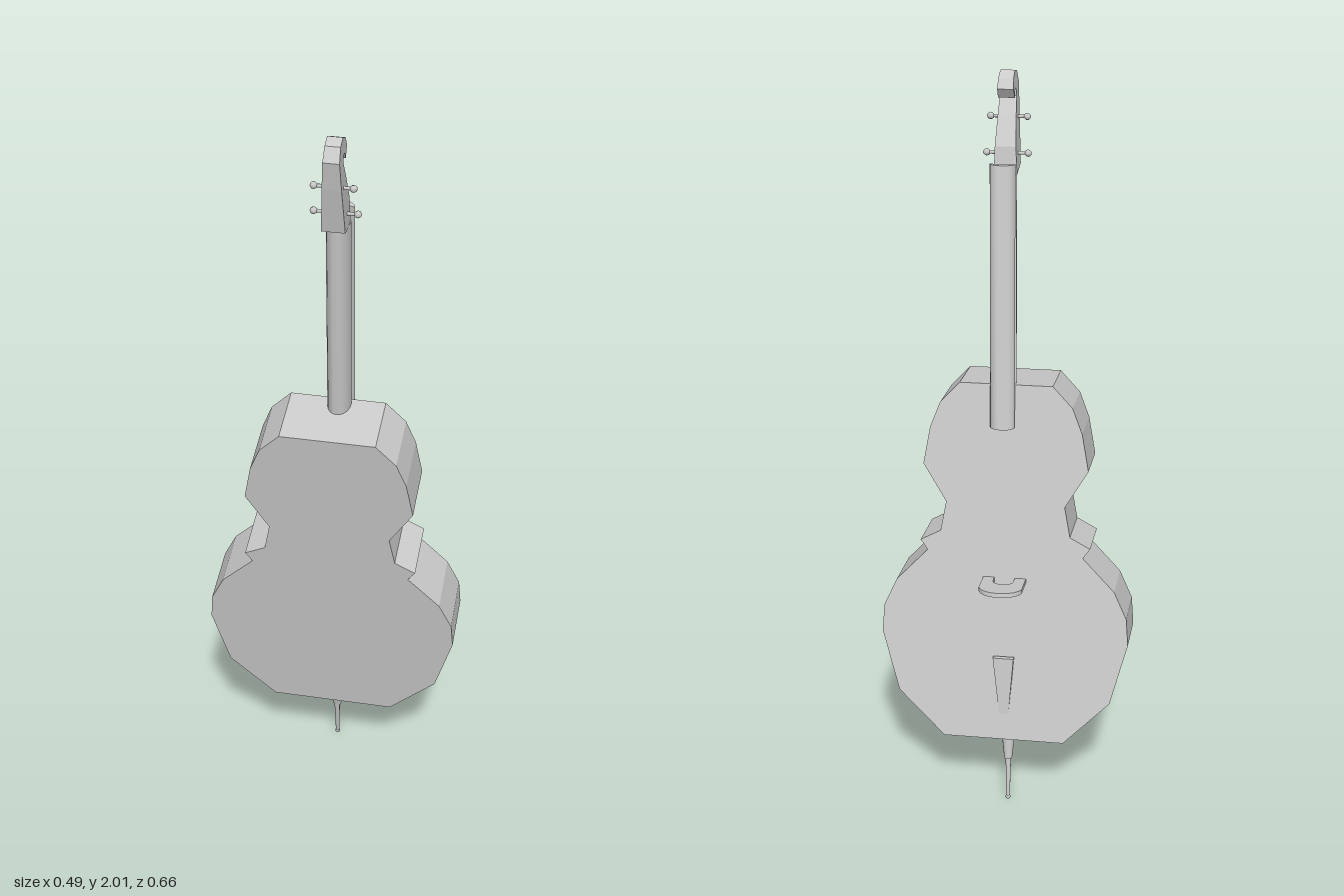
import * as THREE from 'three';
import { toCreasedNormals } from 'three/addons/utils/BufferGeometryUtils.js';

const grey = new THREE.MeshStandardMaterial({ color: 0xcccccc, side: THREE.DoubleSide });

function add(parent, name, geometry) {
  const mesh = new THREE.Mesh(geometry, grey);
  mesh.name = name;
  parent.add(mesh);
  return mesh;
}

// Extrudes a shape or a list of [x, y] points along +z
function extrude(outline, depth, curveSegments = 10) {
  const shape = Array.isArray(outline)
    ? new THREE.Shape(outline.map(([x, y]) => new THREE.Vector2(x, y)))
    : outline;
  return new THREE.ExtrudeGeometry(shape, { depth, bevelEnabled: false, curveSegments });
}

export function createModel() {
  const model = new THREE.Group();
  model.name = 'cello';

  // Leaning frame: local y runs up the instrument, local z out of its front
  const up = new THREE.Vector3(-0.158, 1, 0.109).normalize();
  const out = new THREE.Vector3().crossVectors(up, new THREE.Vector3(0.479, -0.02, 0.878)).normalize();
  const side = new THREE.Vector3().crossVectors(up, out);
  const cello = new THREE.Group();
  cello.name = 'instrument';
  cello.quaternion.setFromRotationMatrix(new THREE.Matrix4().makeBasis(side, up, out));
  cello.position.set(0.072, 0, -0.05);
  model.add(cello);

  // Body: half outline from bottom to top, mirrored
  const half = [
    [0.163, 0.231], [0.287, 0.358], [0.332, 0.53], [0.326, 0.605], [0.292, 0.68],
    [0.207, 0.77], [0.226, 0.797], [0.172, 0.826], [0.157, 0.908], [0.217, 1.01],
    [0.199, 1.11], [0.173, 1.178], [0.121, 1.234],
  ];
  const outline = [...half, ...half.map(([x, y]) => [-x, y]).reverse()];
  add(cello, 'body', extrude(outline, 0.164)).position.z = -0.068;

  // Neck: rounded back, running down into the body
  const neckShape = new THREE.Shape();
  neckShape.moveTo(0.03, 0);
  neckShape.lineTo(-0.03, 0);
  neckShape.bezierCurveTo(-0.03, -0.062, 0.03, -0.062, 0.03, 0);
  const neck = add(cello, 'neck', toCreasedNormals(extrude(neckShape, 0.6), 0.6));
  neck.position.set(-0.006, 1.785, 0.106);
  neck.rotation.x = Math.PI / 2 + 0.048;

  // Fingerboard: arched strip held clear of the neck
  const boardShape = new THREE.Shape();
  boardShape.moveTo(0.032, 0);
  boardShape.bezierCurveTo(0.03, 0.034, -0.03, 0.034, -0.032, 0);
  boardShape.quadraticCurveTo(0, 0.014, 0.032, 0);
  const board = add(cello, 'fingerboard', toCreasedNormals(extrude(boardShape, 0.685), 0.6));
  board.position.set(-0.008, 1.805, 0.13);
  board.rotation.x = Math.PI / 2 + 0.042;

  // Pegbox with hooked scroll: side profile, narrowing toward the top
  const profile = [
    [0.041, 1.795], [0.109, 1.775], [0.114, 1.845], [0.09, 1.92], [0.072, 1.965], [0.077, 1.985],
    [0.092, 1.982], [0.1, 1.962], [0.122, 1.985], [0.112, 2.01], [0.085, 2.028], [0.052, 2.024],
    [0.028, 1.995], [0.031, 1.92],
  ];
  const head = extrude(profile, 1);
  const p = head.attributes.position;
  for (let i = 0; i < p.count; i++) {
    const width = THREE.MathUtils.mapLinear(p.getY(i), 1.78, 2.03, 0.058, 0.036);
    p.setZ(i, (p.getZ(i) - 0.5) * width);
  }
  head.rotateY(-Math.PI / 2);
  head.computeVertexNormals();
  add(cello, 'pegboxAndScroll', head).position.x = -0.004;

  // Tuning pegs: a shaft and a round knob on each side
  for (const [y, z, reach] of [[1.825, 0.078, 0.052], [1.912, 0.056, 0.046]]) {
    for (const s of [-1, 1]) {
      const peg = new THREE.Group();
      peg.name = 'tuningPeg';
      peg.position.set(-0.004, y, z);
      peg.rotation.z = -s * Math.PI / 2;
      add(peg, 'pegShaft', new THREE.CylinderGeometry(0.004, 0.005, reach, 8)).position.y = reach / 2;
      add(peg, 'pegKnob', new THREE.SphereGeometry(0.009, 8, 6)).position.y = reach;
      cello.add(peg);
    }
  }

  // Bridge: thin arch standing off the front, with a notch between its feet
  const arch = new THREE.Shape();
  arch.moveTo(0.027, 0);
  arch.lineTo(0.057, 0);
  arch.lineTo(0.057, 0.078);
  arch.bezierCurveTo(0.045, 0.13, -0.045, 0.13, -0.057, 0.078);
  arch.lineTo(-0.057, 0);
  arch.lineTo(-0.027, 0);
  arch.lineTo(-0.027, 0.032);
  arch.bezierCurveTo(-0.02, 0.058, 0.02, 0.058, 0.027, 0.032);
  const bridge = add(cello, 'bridge', toCreasedNormals(extrude(arch, 0.012), 0.6));
  bridge.position.set(0, 0.703, 0.094);
  bridge.rotation.x = Math.PI / 2;

  // Tailpiece: tapered plate sinking into the lower front
  const tail = extrude([[-0.007, 0], [0.007, 0], [0.028, 0.235], [-0.028, 0.235]], 0.012);
  const tailpiece = add(cello, 'tailpiece', tail);
  tailpiece.position.set(0, 0.245, 0.077);
  tailpiece.rotation.x = 0.11;

  // Endpin: tapered socket, rod and tip
  add(cello, 'endpinSocket', new THREE.CylinderGeometry(0.023, 0.011, 0.12, 12)).position.set(0, 0.19, 0.004);
  add(cello, 'endpinRod', new THREE.CylinderGeometry(0.008, 0.005, 0.14, 10)).position.y = 0.075;
  add(cello, 'endpinTip', new THREE.SphereGeometry(0.007, 10, 8)).position.y = 0.008;

  return model;
}
